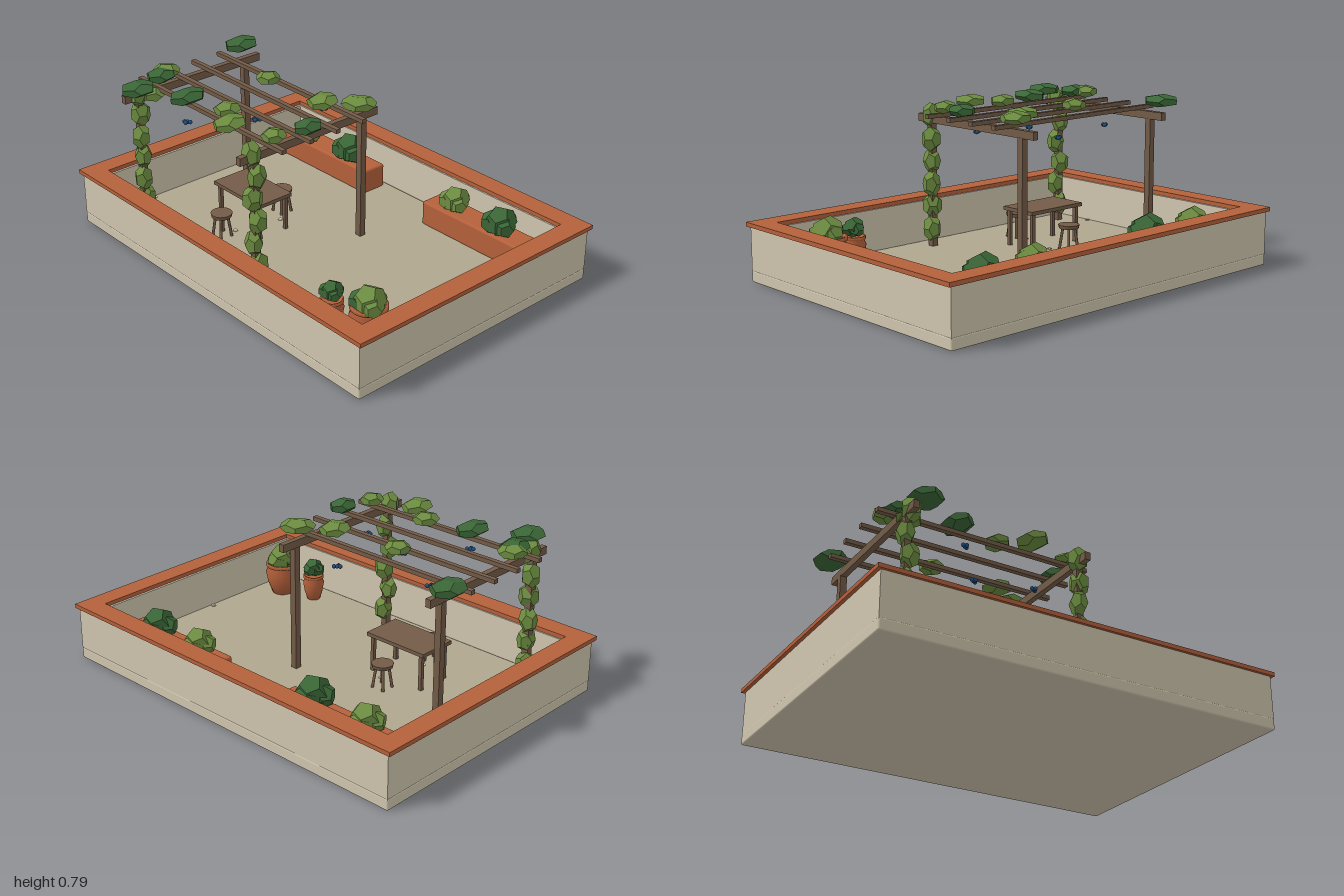
import * as THREE from 'three';
import { RoundedBoxGeometry } from 'three/addons/geometries/RoundedBoxGeometry.js';

const mat = (name, color, flatShading = false) => {
  const m = new THREE.MeshStandardMaterial({ color, flatShading });
  m.name = name;
  return m;
};

export function createModel() {
  const cream = mat('cream stucco', 0xcfc5ae);
  const paving = mat('paving', 0xb0a68e);
  const terracotta = mat('terracotta', 0xb4603a);
  const wood = mat('wood', 0x735b47);
  const darkGreen = mat('dark leaf', 0x3a6636, true);
  const lightGreen = mat('light leaf', 0x6c8c40, true);
  const blue = mat('grape blue', 0x1f4f80);

  const root = new THREE.Group();
  root.name = 'terrace';
  const group = (name) => {
    const g = new THREE.Group();
    g.name = name;
    root.add(g);
    return g;
  };
  const add = (parent, name, geo, material, x, y, z) => {
    const m = new THREE.Mesh(geo, material);
    m.name = name;
    m.position.set(x, y, z);
    parent.add(m);
    return m;
  };
  const box = (parent, name, material, w, h, d, x, y, z) =>
    add(parent, name, new THREE.BoxGeometry(w, h, d), material, x, y, z);

  // Rectangular ring extruded upward, used for the walls and their coping
  const ring = (name, material, ox, oz, ix, iz, y, h) => {
    const rect = (P, x, z) => new P([[-x, -z], [x, -z], [x, z], [-x, z]].map((p) => new THREE.Vector2(...p)));
    const shape = rect(THREE.Shape, ox, oz);
    shape.holes.push(rect(THREE.Path, ix, iz));
    const geo = new THREE.ExtrudeGeometry(shape, { depth: h, bevelEnabled: false });
    geo.rotateX(-Math.PI / 2);
    return add(root, name, geo, material, 0, y, 0);
  };

  // Base, floor and parapet
  add(root, 'baseSlab', new RoundedBoxGeometry(1.97, 0.056, 1.404, 2, 0.008), cream, 0, 0.028, 0);
  box(root, 'floor', paving, 1.77, 0.006, 1.19, 0, 0.057, 0);
  ring('parapetWall', cream, 0.983, 0.7, 0.888, 0.602, 0.05, 0.212);
  ring('coping', terracotta, 1, 0.712, 0.9, 0.61, 0.262, 0.02);

  // Pale pebbles set in the floor
  const pebble = new THREE.CylinderGeometry(0.012, 0.012, 0.004, 8);
  [[-0.87, -0.52], [-0.87, -0.28], [0.87, -0.53], [0.87, 0.05], [-0.28, 0.05], [-0.87, 0.37], [-0.34, 0.28]]
    .forEach(([x, z]) => add(root, 'pebble', pebble, cream, x, 0.062, z));

  // Pergola: posts, beams and rafters
  const pergola = group('pergola');
  for (const x of [-0.773, 0.082]) {
    for (const z of [-0.142, 0.492]) box(pergola, 'post', wood, 0.032, 0.61, 0.032, x, 0.365, z);
    box(pergola, 'beam', wood, 0.028, 0.038, 0.805, x, 0.686, 0.174);
  }
  for (const z of [-0.062, 0.094, 0.249, 0.406]) {
    box(pergola, 'rafter', wood, 1.06, 0.02, 0.024, -0.345, 0.714, z);
  }

  // Faceted foliage clump
  const blob = new THREE.DodecahedronGeometry(1);
  const clump = (parent, name, material, x, y, z, rx, ry, rz, turn = 0) => {
    const m = add(parent, name, blob, material, x, y, z);
    m.scale.set(rx, ry, rz);
    m.rotation.y = turn;
    return m;
  };

  // Leaf canopy: dark?, x, z, radius x, radius z, turn
  const canopy = group('canopy');
  [
    [1, -0.825, -0.165, 0.078, 0.1, 0.1], [1, 0.125, 0.22, 0.06, 0.078, 0],
    [1, -0.49, 0.415, 0.07, 0.1, 0], [1, -0.76, 0.37, 0.068, 0.08, 0.2],
    [1, -0.71, 0.535, 0.08, 0.092, 0], [0, -0.4, 0.01, 0.06, 0.06, 0.9],
    [0, -0.04, -0.01, 0.072, 0.085, 0.3], [0, 0.095, -0.11, 0.085, 0.075, 0.6],
    [0, -0.26, 0.365, 0.064, 0.066, 0.4], [0, -0.13, 0.455, 0.072, 0.09, 0.2],
    [0, 0.09, 0.385, 0.058, 0.06, 0.5], [0, -0.79, 0.315, 0.068, 0.062, 0.8],
  ].forEach(([dark, x, z, rx, rz, turn], i) =>
    clump(canopy, 'canopyLeaf', dark ? darkGreen : lightGreen, x, 0.753 + 0.004 * (i % 2), z, rx, 0.032, rz, turn));

  // Vines climbing the front posts
  const vines = group('vines');
  for (const x of [-0.768, 0.086]) {
    for (let i = 0; i < 6; i++) {
      const s = i % 2 ? 1 : -1;
      clump(vines, 'vineLeaf', lightGreen, x - s * 0.008 * Math.sign(x), 0.15 + i * 0.11, 0.493 + s * 0.008,
        0.043, 0.064, 0.05, i * 0.9 + x);
    }
  }
  clump(vines, 'vineShoulder', lightGreen, -0.74, 0.69, 0.44, 0.07, 0.035, 0.06, 0.5);

  // Grape bunches hanging under the rafters
  const grapes = group('grapes');
  const berry = new THREE.SphereGeometry(0.01, 8, 6);
  [[-0.6, -0.005], [-0.465, 0.44], [-0.275, 0.185], [-0.165, -0.125], [0, 0.255]].forEach(([x, z]) => {
    for (const [dx, dz] of [[-0.012, 0.007], [0, -0.001], [0.012, -0.008], [0.003, 0.012]]) {
      add(grapes, 'berry', berry, blue, x + dx, 0.64, z + dz);
    }
  });

  // Bush made of one large clump and smaller ones around it
  const bush = (name, main, other, x, y, z, r) => {
    const g = group(name);
    clump(g, 'bushCentre', main, x, y, z, r * 0.85, r * 0.85, r * 0.9, 0.4);
    for (let i = 0; i < 3; i++) {
      const a = 0.5 + i * 2.1;
      clump(g, 'bushSide', i === 1 ? other : main, x + Math.cos(a) * r * 0.45, y - r * 0.1, z + Math.sin(a) * r * 0.4,
        r * 0.62, r * 0.6, r * 0.62, a);
    }
  };

  // Long planters along the back wall
  for (const x of [-0.517, 0.513]) {
    const planter = group('planter');
    add(planter, 'planterBox', new RoundedBoxGeometry(0.625, 0.125, 0.136, 2, 0.012), terracotta, x, 0.12, -0.503);
  }
  bush('planterBush', lightGreen, lightGreen, -0.685, 0.23, -0.5, 0.085);
  bush('planterBush', darkGreen, darkGreen, -0.375, 0.235, -0.495, 0.095);
  bush('planterBush', lightGreen, lightGreen, 0.355, 0.23, -0.5, 0.08);
  bush('planterBush', darkGreen, darkGreen, 0.64, 0.23, -0.5, 0.09);

  // Round pots in the front corner
  const potProfile = [[0, 0], [0.6, 0], [0.85, 0.35], [0.98, 0.7], [0.82, 0.86], [0.95, 0.9], [0.95, 1], [0.8, 1], [0.75, 0.9], [0, 0.9]];
  const pot = (x, z, r, h) => add(root, 'pot',
    new THREE.LatheGeometry(potProfile.map(([a, b]) => new THREE.Vector2(a * r, b * h)), 20), terracotta, x, 0.06, z);
  pot(0.745, 0.425, 0.088, 0.165);
  pot(0.568, 0.475, 0.055, 0.13);
  bush('potBush', lightGreen, darkGreen, 0.75, 0.245, 0.43, 0.088);
  bush('potBush', darkGreen, darkGreen, 0.57, 0.23, 0.475, 0.058);

  // Table
  const table = group('table');
  box(table, 'tableTop', wood, 0.34, 0.018, 0.2, -0.345, 0.245, 0.165);
  for (const sx of [-1, 1]) {
    for (const sz of [-1, 1]) {
      box(table, 'tableLeg', wood, 0.018, 0.18, 0.018, -0.345 + sx * 0.145, 0.15, 0.165 + sz * 0.08);
    }
  }

  // Stools with splayed legs
  for (const [x, z] of [[-0.345, -0.015], [-0.345, 0.355]]) {
    const stool = group('stool');
    add(stool, 'seat', new THREE.CylinderGeometry(0.052, 0.048, 0.018, 16), wood, x, 0.175, z);
    for (let i = 0; i < 4; i++) {
      const a = Math.PI / 4 + (i * Math.PI) / 2;
      const top = new THREE.Vector3(Math.cos(a) * 0.028, 0.17, Math.sin(a) * 0.028);
      const foot = new THREE.Vector3(Math.cos(a) * 0.045, 0.06, Math.sin(a) * 0.045);
      const path = new THREE.LineCurve3(foot, top);
      add(stool, 'stoolLeg', new THREE.TubeGeometry(path, 1, 0.007, 6), wood, x, 0, z);
    }
  }

  return root;
}
